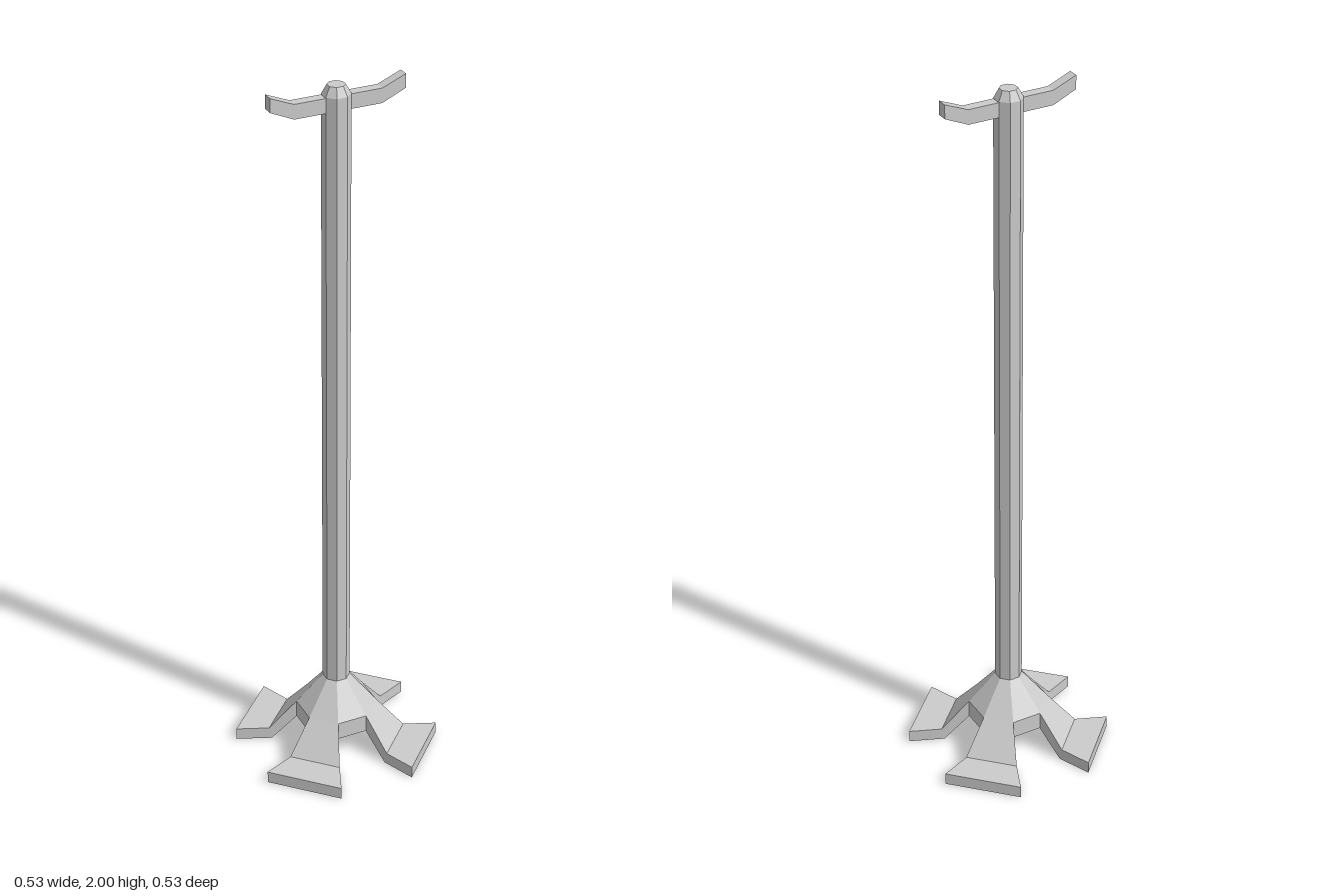
import * as THREE from 'three';

const material = new THREE.MeshStandardMaterial({ color: 0xcccccc, flatShading: true });
const HALF = Math.PI / 8;

function shapeOf(points) {
  return new THREE.Shape(points.map(([x, y]) => new THREE.Vector2(x, y)));
}

function addMesh(parent, name, geometry) {
  const mesh = new THREE.Mesh(geometry, material);
  mesh.name = name;
  parent.add(mesh);
  return mesh;
}

// Eight-sided turned part with flats facing the axes; x values are distances to the flats
function octagonal(points) {
  const profile = points.map(([a, y]) => new THREE.Vector2(a / Math.cos(HALF), y));
  return new THREE.LatheGeometry(profile, 8, HALF, Math.PI * 2);
}

// Side profile widened outwards to fill one eighth of a turn
function wedge(points) {
  const geometry = new THREE.ExtrudeGeometry(shapeOf(points), { depth: 2, bevelEnabled: false });
  const pos = geometry.attributes.position;
  for (let i = 0; i < pos.count; i++) {
    pos.setZ(i, (pos.getZ(i) - 1) * pos.getX(i) * Math.tan(HALF));
  }
  geometry.computeVertexNormals();
  return geometry;
}

export function createModel() {
  const model = new THREE.Group();
  model.name = 'coatStand';

  // Pole with chamfered tip
  addMesh(model, 'pole', octagonal([[0.035, 0.22], [0.035, 1.975], [0.022, 2], [0, 2]]));

  // Flared hub with upright rim
  addMesh(model, 'hub', octagonal([[0, 0.075], [0.104, 0.075], [0.104, 0.127], [0.035, 0.22]]));

  // Four splayed legs ending in flat feet
  const legGeometry = wedge([
    [0.104, 0.075], [0.17, 0], [0.263, 0], [0.263, 0.035], [0.177, 0.035], [0.104, 0.127],
  ]);
  for (let i = 0; i < 4; i++) {
    addMesh(model, 'leg' + (i + 1), legGeometry).rotation.y = Math.PI / 4 + (i * Math.PI) / 2;
  }

  // Two upturned hooks at the top
  const hookGeometry = new THREE.ExtrudeGeometry(
    shapeOf([[0.034, 1.933], [0.12, 1.933], [0.185, 1.962], [0.185, 2], [0.12, 1.973], [0.034, 1.973]]),
    { depth: 0.029, bevelEnabled: false },
  );
  hookGeometry.translate(0, 0, -0.0145);
  addMesh(model, 'leftHook', hookGeometry);
  addMesh(model, 'rightHook', hookGeometry).rotation.y = Math.PI;

  return model;
}
